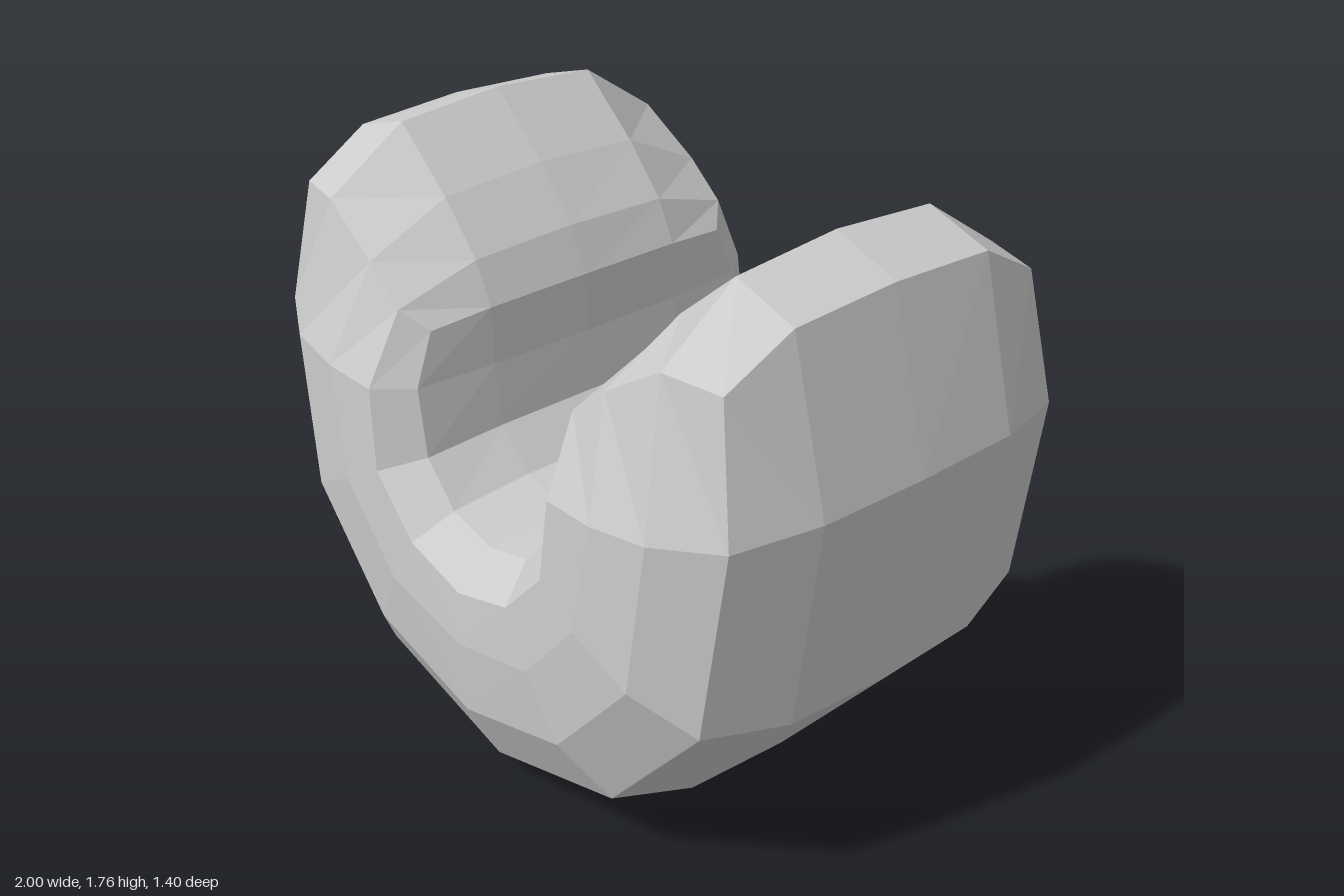
import * as THREE from 'three';

// Lengthwise lines of one quarter, each running from the bottom centre to the tip
const outer = [[0, 0.005, 0], [0.55, 0.16, 0], [0.92, 0.59, 0], [1, 1.22, 0], [0.87, 1.7, 0]];
const outerEdge = [[0, 0.1, 0.58], [0.5, 0.24, 0.58], [0.84, 0.63, 0.58], [0.92, 1.2, 0.57], [0.85, 1.57, 0.53]];
const sideLow = [[0, 0.3, 0.68], [0.4, 0.41, 0.68], [0.68, 0.73, 0.68], [0.74, 1.18, 0.67], [0.68, 1.58, 0.57]];
const sideMid = [[0, 0.53, 0.7], [0.3, 0.6, 0.7], [0.5, 0.83, 0.7], [0.56, 1.16, 0.69], [0.49, 1.46, 0.58]];
const sideHigh = [[0, 0.69, 0.69], [0.21, 0.75, 0.69], [0.36, 0.91, 0.69], [0.385, 1.15, 0.68], [0.37, 1.36, 0.58]];
const innerEdge = [[0, 0.79, 0.58], [0.16, 0.83, 0.58], [0.27, 0.95, 0.58], [0.3, 1.15, 0.58], [0.31, 1.3, 0.52]];
const inner = [[0, 0.82, 0], [0.15, 0.86, 0], [0.26, 0.97, 0], [0.28, 1.15, 0], [0.29, 1.32, 0]];

// Crest of the rounded tip on the centre plane, from outside to inside
const crest = [outer[4], [0.67, 1.77, 0], [0.48, 1.6, 0], [0.35, 1.45, 0], inner[4]];

// Line between the centre plane and an edge, at z = 0.33
const between = (centre, edge) => centre.map(([x, y], i) => [
  x + (edge[i][0] - x) * 0.13,
  y + (edge[i][1] - y) * 0.13,
  0.33,
]);

// Add the quads of a grid, mirrored into all four quarters
function addGrid(out, rows) {
  for (let r = 0; r < rows.length - 1; r++) {
    for (let c = 0; c < rows[r].length - 1; c++) {
      const quad = [rows[r][c], rows[r][c + 1], rows[r + 1][c + 1], rows[r + 1][c]];
      for (const sx of [1, -1]) {
        for (const sz of [1, -1]) {
          const order = sx * sz > 0 ? [0, 1, 2, 0, 2, 3] : [0, 2, 1, 0, 3, 2];
          for (const i of order) out.push(quad[i][0] * sx, quad[i][1], quad[i][2] * sz);
        }
      }
    }
  }
}

function makeMesh(name, rows) {
  const positions = [];
  addGrid(positions, rows);
  const geometry = new THREE.BufferGeometry();
  geometry.setAttribute('position', new THREE.Float32BufferAttribute(positions, 3));
  geometry.computeVertexNormals();
  const mesh = new THREE.Mesh(
    geometry,
    new THREE.MeshStandardMaterial({ color: 0xcccccc, flatShading: true }),
  );
  mesh.name = name;
  return mesh;
}

export function createModel() {
  const group = new THREE.Group();
  group.name = 'curvedRoll';

  // Curved body: outside, side and inside of the U
  group.add(makeMesh('curvedBody', [
    outer, between(outer, outerEdge), outerEdge, sideLow, sideMid, sideHigh,
    innerEdge, between(inner, innerEdge), inner,
  ]));

  // Rounded tips closing the two arms, each row from the rim to the crest
  const rim = [outerEdge, sideLow, sideMid, sideHigh, innerEdge].map((line) => line[4]);
  const middle = between(crest, rim);
  group.add(makeMesh('armTips', crest.map((p, i) => [rim[i], middle[i], p])));

  return group;
}
